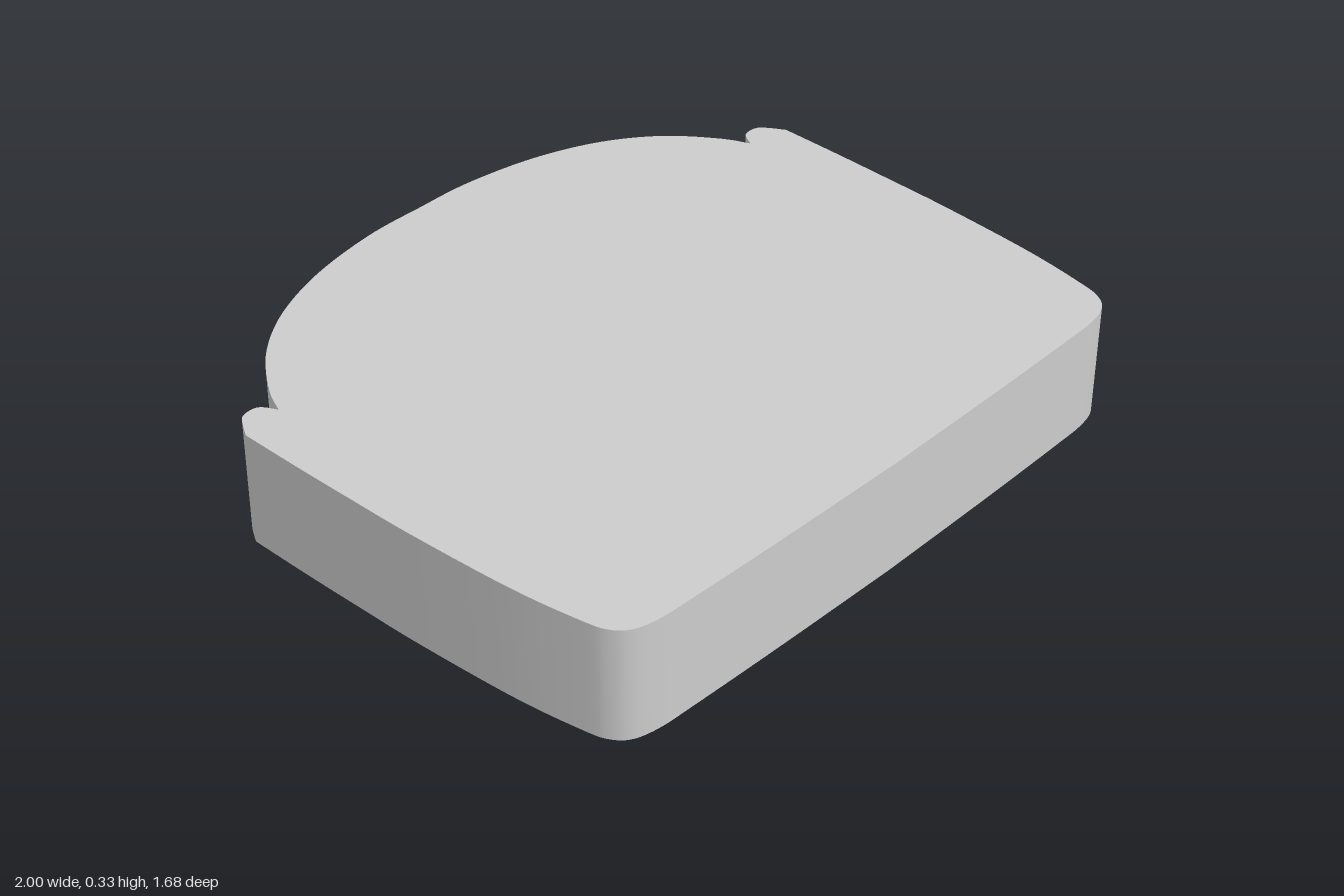
import * as THREE from 'three';
import { toCreasedNormals } from 'three/addons/utils/BufferGeometryUtils.js';

const HEIGHT = 0.33;

// Half outline in (x, z), from front centre to back centre; each run is smooth, runs meet at corners
const runs = [
  // front edge, rounded front corner and tapering side
  { steps: 48, pts: [[0, 0.838], [0.4, 0.833], [0.7, 0.826], [0.81, 0.821], [0.88, 0.803], [0.918, 0.765],
    [0.938, 0.7], [0.968, 0.5], [0.989, 0.2], [0.995, 0], [0.999, -0.2], [1, -0.385]] },
  // small ear at the back of the side
  { steps: 14, pts: [[1, -0.385], [0.968, -0.437], [0.945, -0.455], [0.91, -0.455], [0.892, -0.44], [0.875, -0.408]] },
  // rounded back
  { steps: 32, pts: [[0.875, -0.408], [0.835, -0.49], [0.735, -0.617], [0.59, -0.722], [0.4, -0.796],
    [0.18, -0.835], [0, -0.838]] },
];

function cushionShape() {
  const half = runs.flatMap(({ steps, pts }, i) => {
    const curve = new THREE.SplineCurve(pts.map(([x, z]) => new THREE.Vector2(x, -z)));
    return curve.getPoints(steps).slice(i ? 1 : 0);
  });
  // mirror across x = 0, leaving out the two centre points
  const mirrored = half.slice(1, -1).reverse().map((p) => new THREE.Vector2(-p.x, p.y));
  return new THREE.Shape([...half, ...mirrored]);
}

export function createModel() {
  const group = new THREE.Group();
  group.name = 'seatCushion';

  // Cushion slab, extruded upwards
  const slab = new THREE.ExtrudeGeometry(cushionShape(), { depth: HEIGHT, bevelEnabled: false });
  slab.rotateX(-Math.PI / 2);
  const cushion = new THREE.Mesh(
    toCreasedNormals(slab, 0.6),
    new THREE.MeshStandardMaterial({ color: 0xcccccc })
  );
  cushion.name = 'cushion';
  group.add(cushion);
  return group;
}
